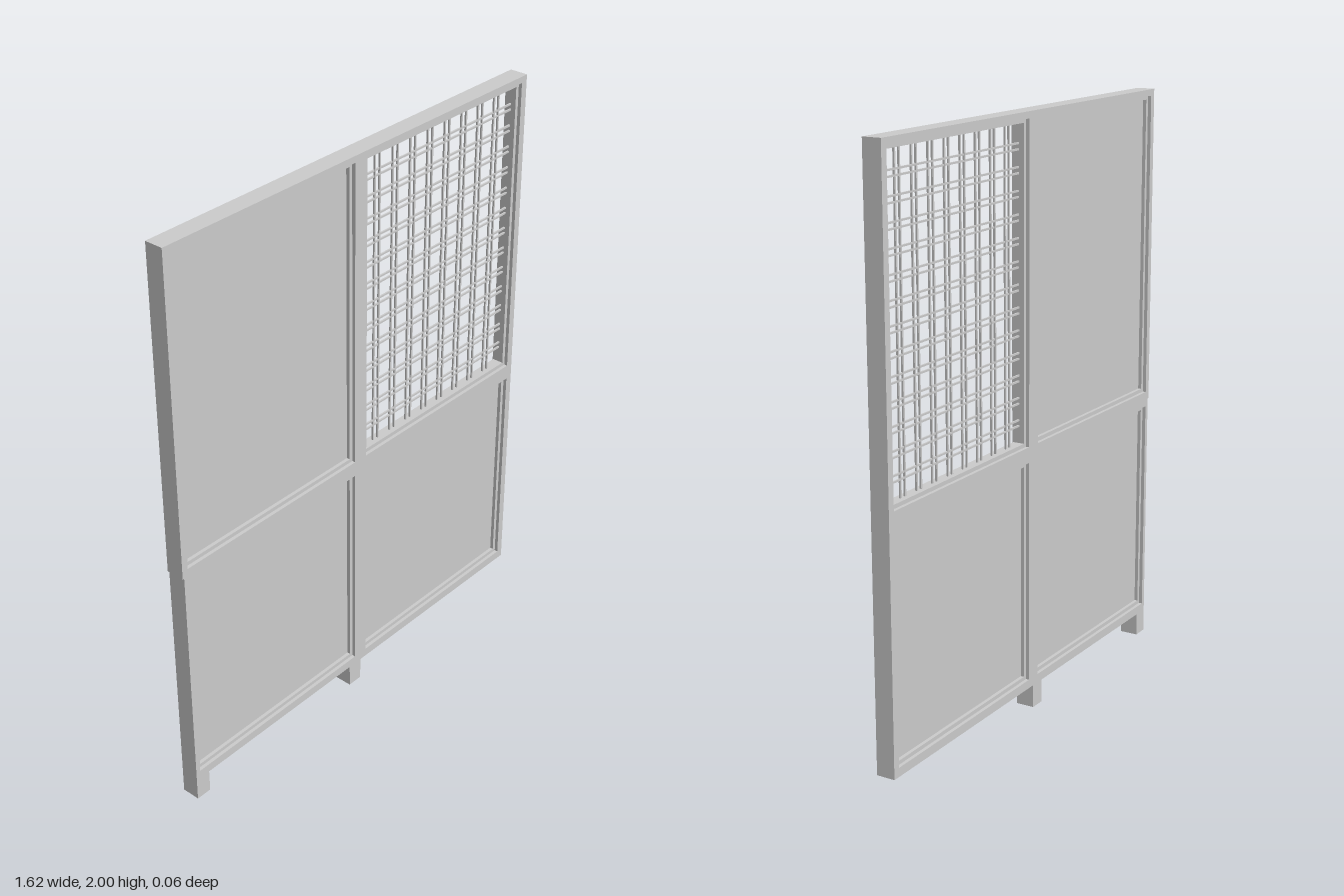
import * as THREE from 'three';

const material = new THREE.MeshStandardMaterial({ color: 0xcccccc, flatShading: true });

// Openings in the frame: x0, x1, y0, y1
const openings = {
  upperLeft: [0.025, 0.785, 0.923, 1.978],
  upperRight: [-0.79, -0.03, 0.923, 1.978],
  lowerLeft: [0.025, 0.785, 0.11, 0.87],
  lowerRight: [-0.79, -0.03, 0.11, 0.87],
};
const BEAD = 0.013;

function addRect(path, [x0, x1, y0, y1]) {
  path.moveTo(x0, y0);
  path.lineTo(x1, y0);
  path.lineTo(x1, y1);
  path.lineTo(x0, y1);
  path.closePath();
  return path;
}

function inset([x0, x1, y0, y1], d) {
  return [x0 + d, x1 - d, y0 + d, y1 - d];
}

// Flat plate with holes, centred on z = 0
function plate(name, outline, holes, depth) {
  outline.holes = holes.map((h) => addRect(new THREE.Path(), h));
  const geometry = new THREE.ExtrudeGeometry(outline, { depth, bevelEnabled: false });
  geometry.translate(0, 0, -depth / 2);
  const mesh = new THREE.Mesh(geometry, material);
  mesh.name = name;
  return mesh;
}

function box(name, [x0, x1, y0, y1], depth, z = 0) {
  const mesh = new THREE.Mesh(new THREE.BoxGeometry(x1 - x0, y1 - y0, depth), material);
  mesh.position.set((x0 + x1) / 2, (y0 + y1) / 2, z);
  mesh.name = name;
  return mesh;
}

export function createModel() {
  const group = new THREE.Group();
  group.name = 'partitionScreen';

  // Main frame, the upper part of one post slightly wider
  const outline = new THREE.Shape([
    [-0.806, 0.08], [0.81, 0.08], [0.81, 2], [-0.812, 2], [-0.812, 0.895], [-0.806, 0.895],
  ].map(([x, y]) => new THREE.Vector2(x, y)));
  group.add(plate('frame', outline, Object.values(openings), 0.064));

  // Feet under the outer and the middle post
  group.add(box('outerFoot', [-0.806, -0.75, 0, 0.08], 0.064));
  group.add(box('middleFoot', [-0.058, -0.002, 0, 0.08], 0.064));

  // Stepped beads in each opening, with solid panels in three of them
  for (const [name, rect] of Object.entries(openings)) {
    const inner = inset(rect, BEAD);
    group.add(plate(name + 'Bead', addRect(new THREE.Shape(), rect), [inner], 0.04));
    if (name !== 'upperLeft') group.add(box(name + 'Panel', inner, 0.016));
  }

  // Lattice of paired thin bars in the open bay
  const lattice = new THREE.Group();
  lattice.name = 'lattice';
  const [x0, x1, y0, y1] = inset(openings.upperLeft, BEAD);
  const half = 0.003;
  for (let i = 0; i < 8; i++) {
    for (const side of [-1, 1]) {
      const x = 0.107 + i * 0.0838 + side * 0.0115;
      lattice.add(box('verticalBar', [x - half, x + half, y0, y1], 0.006));
    }
  }
  for (let i = 0; i < 13; i++) {
    for (const side of [-1, 1]) {
      const y = 1.003 + i * 0.0741 + side * 0.0095;
      lattice.add(box('horizontalBar', [x0, x1, y - half, y + half], 0.0055));
    }
  }
  group.add(lattice);
  return group;
}
